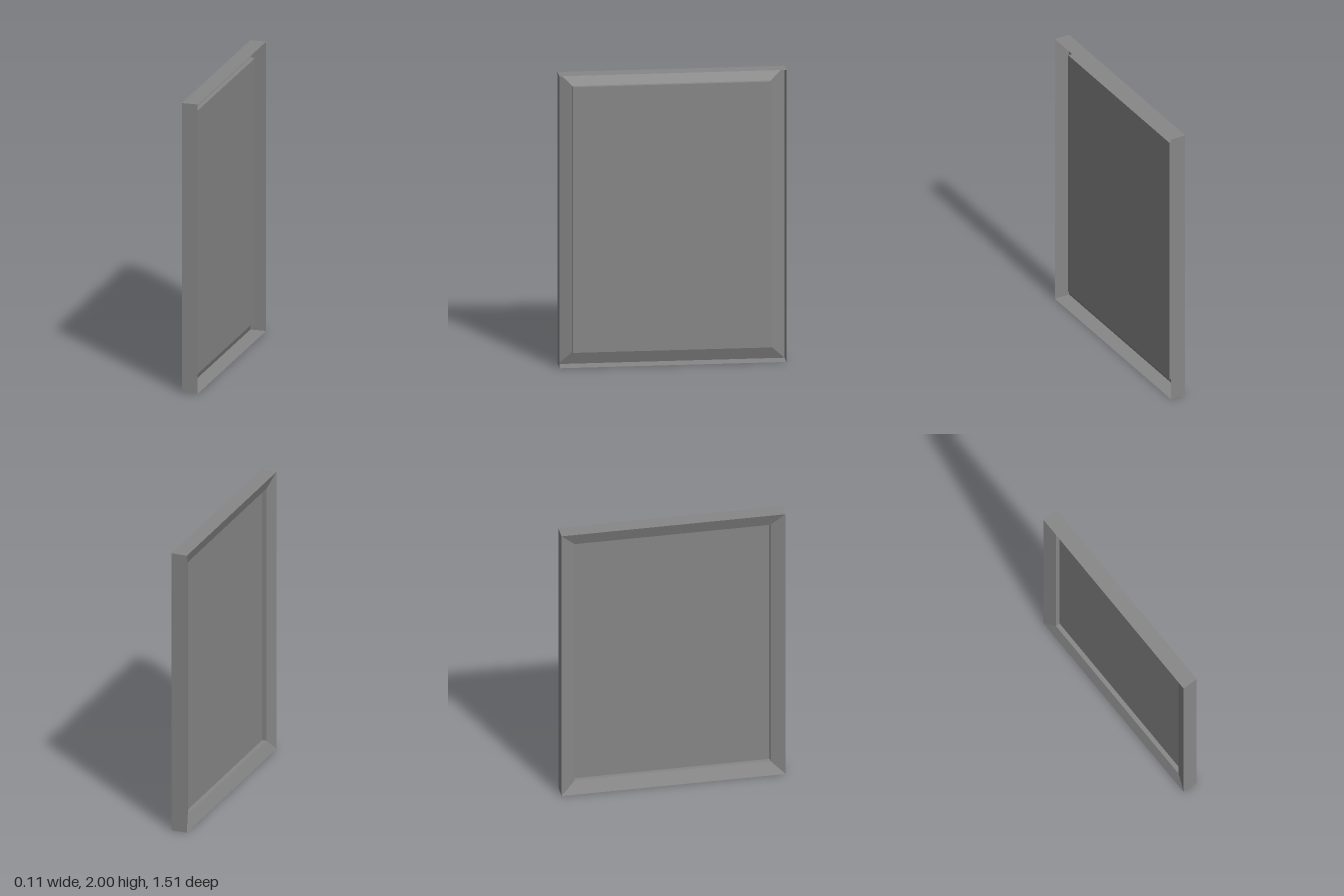
import * as THREE from 'three';

const material = new THREE.MeshStandardMaterial({
  color: 0x878787, flatShading: true, side: THREE.DoubleSide,
});

// Corners of an upright rectangle at depth x, centred on y = 1
const rect = (x, halfZ, halfY) => [
  [x, 1 - halfY, -halfZ], [x, 1 - halfY, halfZ],
  [x, 1 + halfY, halfZ], [x, 1 + halfY, -halfZ],
];

function mesh(name, quads) {
  const positions = quads.flatMap(([a, b, c, d]) => [a, b, c, a, c, d]).flat();
  const geometry = new THREE.BufferGeometry();
  geometry.setAttribute('position', new THREE.Float32BufferAttribute(positions, 3));
  geometry.computeVertexNormals();
  const part = new THREE.Mesh(geometry, material);
  part.name = name;
  return part;
}

// Four flat strips joining one rectangle to the next
const band = (name, from, to) => mesh(name, from.map((p, i) => {
  const j = (i + 1) % 4;
  return [p, from[j], to[j], to[i]];
}));

export function createModel() {
  const group = new THREE.Group();
  group.name = 'pictureFrame';

  const openEdge = rect(0.055, 0.755, 1);
  const faceEdge = rect(-0.055, 0.755, 1);
  const bevelEdge = rect(-0.022, 0.66, 0.91);
  const panelEdge = rect(0.008, 0.66, 0.91);

  group.add(
    band('outerWalls', openEdge, faceEdge),       // thin rim, open on the +x side
    band('miteredBevel', faceEdge, bevelEdge),    // slopes in from the -x edge
    band('panelRecess', bevelEdge, panelEdge),    // small square step
    mesh('panel', [panelEdge]),                   // flat centre sheet
  );
  return group;
}
